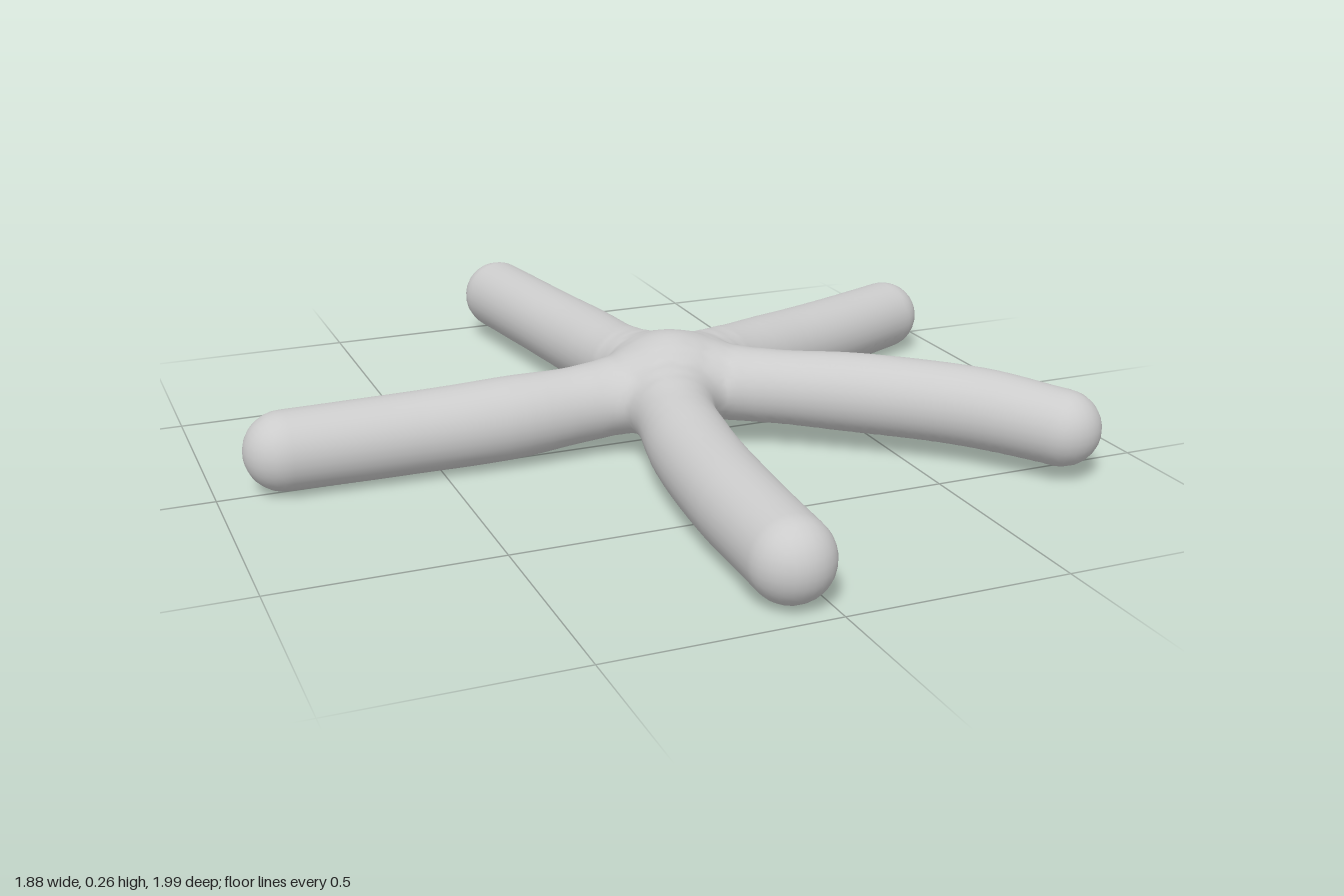
import * as THREE from 'three';

// Arm centre lines: [x, y, z, radius] from the hub outwards
const HUB = [0.06, 0.145, 0.005, 0.05];
const ARMS = [
  [HUB, [-0.14, 0.115, 0.01, 0.086], [-0.35, 0.1, 0.005, 0.095], [-0.6, 0.092, -0.005, 0.092], [-0.845, 0.09, -0.01, 0.09]],
  [HUB, [0.0, 0.12, 0.18, 0.086], [-0.03, 0.1, 0.35, 0.094], [-0.055, 0.092, 0.6, 0.094], [-0.07, 0.09, 0.905, 0.09]],
  [HUB, [0.02, 0.13, -0.18, 0.086], [0.0, 0.117, -0.4, 0.092], [-0.035, 0.115, -0.65, 0.09], [-0.07, 0.113, -0.905, 0.09]],
  [HUB, [0.24, 0.132, -0.1, 0.082], [0.42, 0.108, -0.2, 0.09], [0.65, 0.094, -0.31, 0.09], [0.855, 0.09, -0.405, 0.088]],
  [HUB, [0.25, 0.135, 0.11, 0.084], [0.45, 0.13, 0.235, 0.092], [0.65, 0.122, 0.395, 0.092], [0.772, 0.112, 0.556, 0.087]],
];
const BLEND = 0.038;
const CELL = 0.02;

// Turn each arm into a chain of short tapered capsules
function sampleArm(points) {
  const curve = new THREE.CatmullRomCurve3(points.map(([x, y, z]) => new THREE.Vector3(x, y, z)));
  const steps = 20;
  return Array.from({ length: steps + 1 }, (_, i) => {
    const t = i / steps;
    const f = t * (points.length - 1);
    const k = Math.min(Math.floor(f), points.length - 2);
    const s = THREE.MathUtils.smoothstep(f - k, 0, 1);
    const p = curve.getPoint(t);
    return [p.x, p.y, p.z, THREE.MathUtils.lerp(points[k][3], points[k + 1][3], s)];
  });
}

function armDistance(chain, x, y, z) {
  let best = Infinity;
  for (let i = 0; i < chain.length - 1; i++) {
    const a = chain[i], b = chain[i + 1];
    const ux = b[0] - a[0], uy = b[1] - a[1], uz = b[2] - a[2];
    const px = x - a[0], py = y - a[1], pz = z - a[2];
    const t = Math.min(1, Math.max(0, (px * ux + py * uy + pz * uz) / (ux * ux + uy * uy + uz * uz)));
    const dx = px - t * ux, dy = py - t * uy, dz = pz - t * uz;
    best = Math.min(best, Math.sqrt(dx * dx + dy * dy + dz * dz) - a[3] - t * (b[3] - a[3]));
  }
  return best;
}

// Mesh the zero level of a distance field: one vertex per crossed cell, one quad per crossed edge
function meshField(field, min, max, cell) {
  const n = min.map((v, i) => Math.ceil((max[i] - v) / cell) + 1);
  const stride = [1, n[0], n[0] * n[1]];
  const values = new Float32Array(n[0] * n[1] * n[2]);
  const eachPoint = (visit) => {
    for (let k = 0; k < n[2]; k++)
      for (let j = 0; j < n[1]; j++)
        for (let i = 0; i < n[0]; i++) visit([i, j, k], i + j * stride[1] + k * stride[2]);
  };
  eachPoint((c, id) => {
    values[id] = field(...c.map((v, a) => min[a] + v * cell));
  });

  const gradient = (p) => {
    const e = 0.004;
    return new THREE.Vector3(
      field(p.x + e, p.y, p.z) - field(p.x - e, p.y, p.z),
      field(p.x, p.y + e, p.z) - field(p.x, p.y - e, p.z),
      field(p.x, p.y, p.z + e) - field(p.x, p.y, p.z - e),
    ).divideScalar(2 * e);
  };

  const positions = [], normals = [], index = [];
  const vertexOf = new Int32Array(values.length).fill(-1);
  eachPoint((c, id) => {
    if (c.some((v, a) => v >= n[a] - 1)) return;
    let inside = 0;
    for (let q = 0; q < 8; q++) {
      if (values[id + (q & 1) + ((q >> 1) & 1) * stride[1] + (q >> 2) * stride[2]] < 0) inside++;
    }
    if (inside === 0 || inside === 8) return;
    // Slide the cell centre onto the surface
    const p = new THREE.Vector3(...c.map((v, a) => min[a] + (v + 0.5) * cell));
    for (let s = 0; s < 3; s++) {
      const g = gradient(p);
      p.addScaledVector(g, -field(p.x, p.y, p.z) / Math.max(g.lengthSq(), 0.1));
    }
    vertexOf[id] = positions.length / 3;
    positions.push(p.x, p.y, p.z);
    normals.push(...gradient(p).normalize().toArray());
  });

  eachPoint((c, id) => {
    for (let a = 0; a < 3; a++) {
      const b = (a + 1) % 3, d = (a + 2) % 3;
      if (c[a] >= n[a] - 1 || c[b] < 1 || c[d] < 1) continue;
      const inside = values[id] < 0;
      if (inside === values[id + stride[a]] < 0) continue;
      const quad = [id - stride[b] - stride[d], id - stride[d], id, id - stride[b]].map((v) => vertexOf[v]);
      if (!inside) quad.reverse();
      index.push(quad[0], quad[1], quad[2], quad[0], quad[2], quad[3]);
    }
  });

  const geometry = new THREE.BufferGeometry();
  geometry.setAttribute('position', new THREE.Float32BufferAttribute(positions, 3));
  geometry.setAttribute('normal', new THREE.Float32BufferAttribute(normals, 3));
  geometry.setIndex(index);
  return geometry;
}

export function createModel() {
  const chains = ARMS.map(sampleArm);

  // Five arms melted together around the hub
  const field = (x, y, z) => {
    let sum = 0, nearest = Infinity;
    const d = chains.map((chain) => armDistance(chain, x, y, z));
    for (const v of d) nearest = Math.min(nearest, v);
    for (const v of d) sum += Math.exp((nearest - v) / BLEND);
    return nearest - BLEND * Math.log(sum);
  };

  const body = new THREE.Mesh(
    meshField(field, [-1.01, -0.05, -1.07], [1.01, 0.33, 1.07], CELL),
    new THREE.MeshStandardMaterial({ color: 0xcccccc }),
  );
  body.name = 'fiveArmedBody';

  const model = new THREE.Group();
  model.name = 'starfish';
  model.add(body);
  return model;
}
